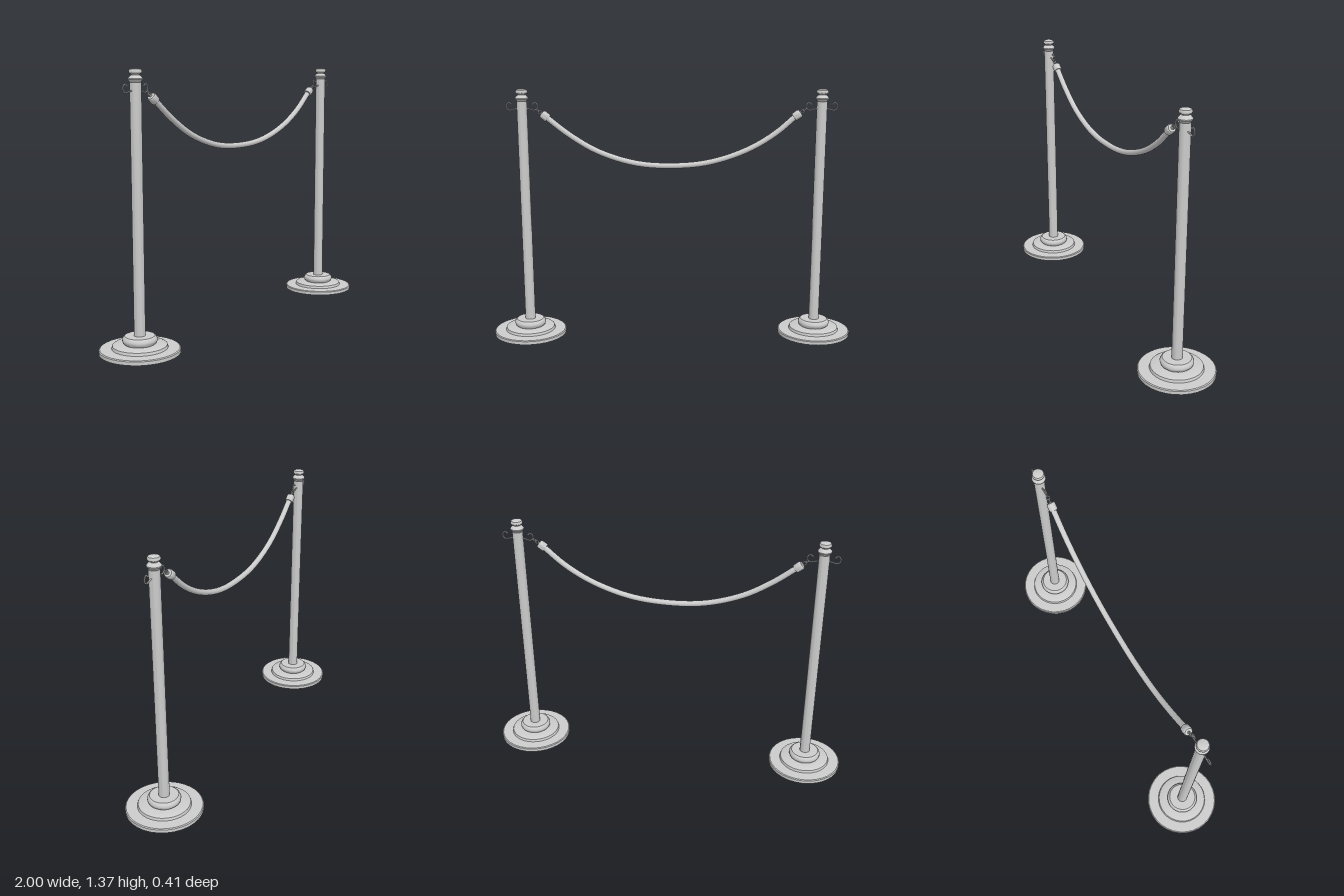
import * as THREE from 'three';
import { toCreasedNormals } from 'three/addons/utils/BufferGeometryUtils.js';

const material = new THREE.MeshStandardMaterial({ color: 0xcccccc });

function part(name, geometry) {
  const mesh = new THREE.Mesh(geometry, material);
  mesh.name = name;
  return mesh;
}

function turned(name, profile) {
  const points = profile.map(([r, y]) => new THREE.Vector2(r, y));
  return part(name, toCreasedNormals(new THREE.LatheGeometry(points, 32), 0.6));
}

function wire(name, points, radius, segments, sides) {
  const curve = new THREE.CatmullRomCurve3(points.map((p) => new THREE.Vector3(...p)));
  return part(name, new THREE.TubeGeometry(curve, segments, radius, sides));
}

// Curled hook with a rounded tip, pointing outwards along side * x
function makeHook(side) {
  const hook = new THREE.Group();
  hook.name = 'hook';
  const path = [[0.02, 1.268], [0.045, 1.263], [0.066, 1.258], [0.079, 1.266],
    [0.083, 1.28], [0.077, 1.294], [0.066, 1.298], [0.057, 1.29]];
  hook.add(wire('hookWire', path.map(([x, y]) => [side * x, y, 0]), 0.0035, 32, 8));
  const tip = part('hookTip', new THREE.SphereGeometry(0.0045, 10, 8));
  tip.position.set(side * 0.057, 1.29, 0);
  hook.add(tip);
  return hook;
}

function makePost(x, z) {
  const post = new THREE.Group();
  post.name = 'post';
  post.position.set(x, 0, z);
  // Stepped foot with a rounded ring on top
  post.add(turned('base', [[0, 0], [0.2, 0], [0.2, 0.018], [0.195, 0.022],
    [0.138, 0.024], [0.134, 0.038], [0.128, 0.042], [0.075, 0.044],
    [0.082, 0.05], [0.086, 0.06], [0.086, 0.068], [0.081, 0.078],
    [0.074, 0.084], [0.028, 0.084]]));
  post.add(turned('pole', [[0.028, 0.08], [0.028, 1.306], [0, 1.306]]));
  // Collar and flattened knob
  post.add(turned('finial', [[0.02, 1.304], [0.026, 1.306], [0.036, 1.319],
    [0.036, 1.324], [0.025, 1.337], [0.019, 1.34], [0.019, 1.343], [0.028, 1.347],
    [0.032, 1.353], [0.032, 1.358], [0.028, 1.366], [0.018, 1.37], [0, 1.371]]));
  post.add(makeHook(1), makeHook(-1));
  return post;
}

// Ferrule on the rope end, with two interlocked links reaching for the hook
function makeRopeEnd(x, y, z, direction) {
  const end = new THREE.Group();
  end.name = 'ropeEnd';
  end.position.set(x, y, z);
  end.quaternion.setFromUnitVectors(new THREE.Vector3(0, 1, 0), direction.normalize());
  end.add(turned('ferrule', [[0, -0.022], [0.021, -0.022], [0.023, -0.018],
    [0.023, 0.014], [0.019, 0.02], [0.008, 0.022], [0.006, 0.026], [0, 0.026]]));
  [0.033, 0.048].forEach((distance, i) => {
    const link = part('link', new THREE.TorusGeometry(0.0085, 0.003, 8, 20));
    link.scale.y = 1.2;
    link.position.y = distance;
    link.rotation.y = i * Math.PI / 2;
    end.add(link);
  });
  return end;
}

export function createModel() {
  const model = new THREE.Group();
  model.name = 'ropeBarrier';
  const skew = 0.006;
  model.add(makePost(-0.8, -skew), makePost(0.8, skew));

  // Sagging rope
  const sag = [[-0.68, 1.227], [-0.55, 1.125], [-0.4, 1.036], [-0.2, 0.972], [0, 0.957],
    [0.2, 0.976], [0.4, 1.042], [0.55, 1.13], [0.668, 1.232]];
  model.add(wire('rope', sag.map(([x, y]) => [x, y, x * skew / 0.8]), 0.0155, 40, 16));

  model.add(makeRopeEnd(-0.68, 1.227, -skew, new THREE.Vector3(-1, 0.82, 0)));
  model.add(makeRopeEnd(0.67, 1.233, skew, new THREE.Vector3(1, 0.72, 0)));
  return model;
}
